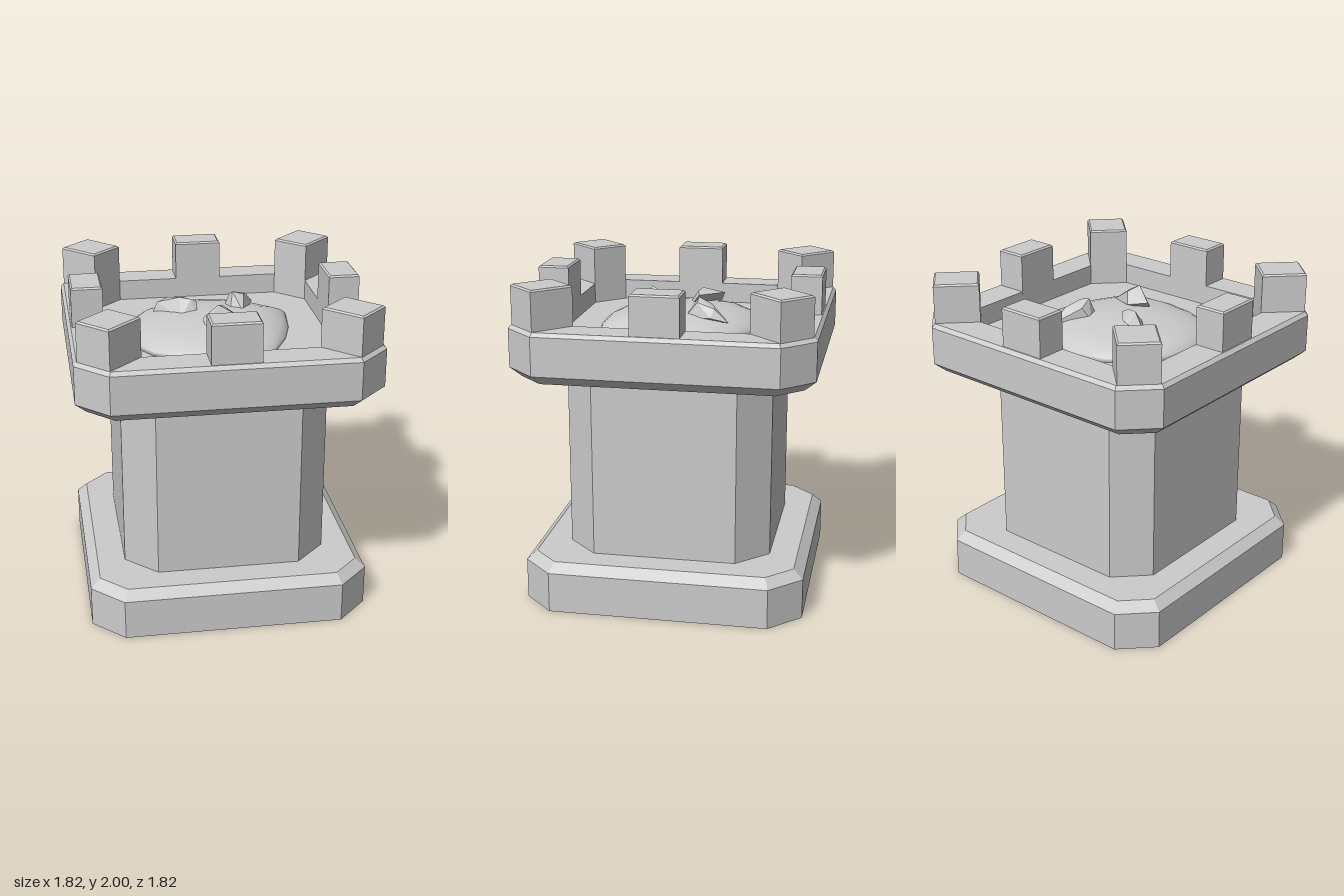
import * as THREE from 'three';
import { ConvexGeometry } from 'three/addons/geometries/ConvexGeometry.js';

// Skin a stack of equal-length rings of [x, y, z] points and cap both ends
function loft(rings, smooth = false) {
  const n = rings[0].length;
  const pos = rings.flat(2);
  const index = [];
  for (let r = 0; r < rings.length - 1; r++) {
    for (let i = 0; i < n; i++) {
      const a = r * n + i, b = r * n + (i + 1) % n;
      index.push(a, a + n, b, b, a + n, b + n);
    }
  }
  const last = (rings.length - 1) * n;
  for (let i = 1; i < n - 1; i++) {
    index.push(0, i, i + 1);
    index.push(last, last + i + 1, last + i);
  }
  let g = new THREE.BufferGeometry();
  g.setAttribute('position', new THREE.Float32BufferAttribute(pos, 3));
  g.setIndex(index);
  if (!smooth) g = g.toNonIndexed();
  g.computeVertexNormals();
  return g;
}

// Square with cut corners: half-width h, straight sides reaching to c
const octagon = (h, c, y) =>
  [[h, c], [c, h], [-c, h], [-h, c], [-h, -c], [-c, -h], [c, -h], [h, -c]].map(([x, z]) => [x, y, z]);

const rectangle = (w, d, y) =>
  [[w, d], [-w, d], [-w, -d], [w, -d]].map(([x, z]) => [x, y, z]);

export function createModel() {
  const group = new THREE.Group();
  const flat = new THREE.MeshStandardMaterial({ color: 0xcccccc, flatShading: true });
  const soft = new THREE.MeshStandardMaterial({ color: 0xcccccc });
  const add = (name, geometry, material = flat) => {
    const mesh = new THREE.Mesh(geometry, material);
    mesh.name = name;
    group.add(mesh);
    return mesh;
  };

  // Foot with chamfered top edge
  add('base', loft([octagon(0.86, 0.67, 0), octagon(0.86, 0.67, 0.25), octagon(0.8, 0.645, 0.305)]));

  // Shaft
  add('shaft', loft([octagon(0.63, 0.44, 0.28), octagon(0.63, 0.44, 1.46)]));

  // Overhanging platform with a sunken floor behind the parapet
  const floorY = 1.63;
  add('platform', loft([
    octagon(0.84, 0.69, 1.44), octagon(0.908, 0.72, 1.5), octagon(0.908, 0.72, 1.735),
    octagon(0.888, 0.71, 1.758), octagon(0.692, 0.52, 1.758), octagon(0.692, 0.52, floorY),
  ]));

  // Merlons on the four sides and four corners
  const merlon = (w, d) => loft([
    rectangle(w, d, 1.74), rectangle(w, d, 1.99), rectangle(w - 0.01, d - 0.01, 2),
  ]);
  const sideMerlon = merlon(0.146, 0.095);
  const cornerMerlon = merlon(0.122, 0.137);
  for (let i = 0; i < 4; i++) {
    for (const [name, geometry, angle, dist] of [
      ['sideMerlon', sideMerlon, i * Math.PI / 2, 0.786],
      ['cornerMerlon', cornerMerlon, (i + 0.5) * Math.PI / 2, 0.994],
    ]) {
      const m = add(name, geometry);
      m.rotation.y = angle;
      m.position.set(Math.sin(angle) * dist, 0, Math.cos(angle) * dist);
    }
  }

  // Low smooth mound with an uneven outline
  const outline = [
    [0.48, 0], [0.42, 0.2], [0.29, 0.46], [0.15, 0.49], [-0.04, 0.5], [-0.25, 0.46], [-0.42, 0.36], [-0.52, 0.2],
    [-0.55, 0], [-0.52, -0.2], [-0.42, -0.36], [-0.25, -0.47], [-0.05, -0.51], [0.15, -0.47], [0.34, -0.38], [0.51, -0.23],
  ];
  const moundRings = [];
  for (let k = 0; k <= 7; k++) {
    const t = Math.min(k / 7, 0.999) * Math.PI / 2;
    const y = floorY - 0.01 + 0.14 * Math.sin(t);
    moundRings.push(outline.map(([x, z]) => [x * Math.cos(t), y, z * Math.cos(t)]));
  }
  add('mound', loft(moundRings, true), soft);

  // Angular stones poking out of the mound
  const stones = [
    [[-0.36, 1.7, -0.19], [-0.33, 1.775, -0.19], [-0.26, 1.79, -0.23], [-0.18, 1.8, -0.2], [-0.09, 1.8, -0.09],
      [-0.1, 1.72, -0.03], [-0.2, 1.72, -0.01], [-0.2, 1.83, -0.1], [-0.13, 1.82, -0.08]],
    [[0.09, 1.72, -0.17], [0.13, 1.8, -0.21], [0.25, 1.71, -0.33], [0.28, 1.74, -0.22], [0.2, 1.72, -0.05],
      [0.12, 1.73, -0.09], [0.14, 1.84, -0.13], [0.21, 1.82, -0.13], [0.24, 1.79, -0.24]],
    [[0.01, 1.77, 0.08], [0.04, 1.84, 0.12], [0.21, 1.73, 0.2], [0.13, 1.72, 0.26], [-0.08, 1.72, 0.21],
      [-0.09, 1.78, 0.16], [0, 1.87, 0.19], [0.09, 1.82, 0.21]],
  ];
  for (const points of stones) {
    add('stone', new ConvexGeometry(points.map((p) => new THREE.Vector3(...p))));
  }

  return group;
}
